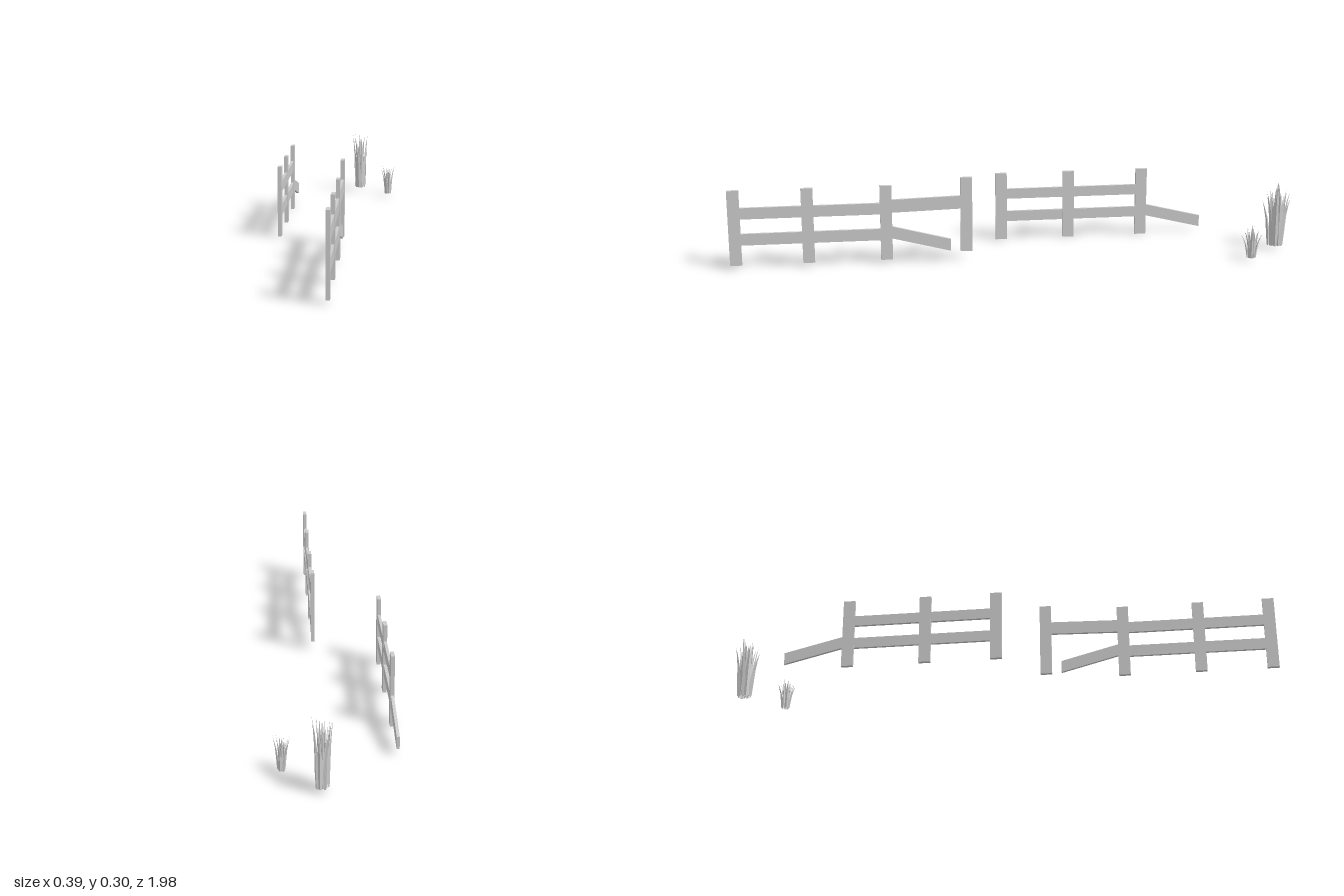
import * as THREE from 'three';

const material = new THREE.MeshStandardMaterial({ color: 0xcccccc, flatShading: true });
const leafMaterial = new THREE.MeshStandardMaterial({ color: 0xcccccc, flatShading: true, side: THREE.DoubleSide });

// Upright board standing on the fence line at z
function addPost(fence, z, bottom, top) {
  const post = new THREE.Mesh(new THREE.BoxGeometry(0.013, top - bottom, 0.041), material);
  post.position.set(0, (top + bottom) / 2, z);
  post.name = 'post';
  fence.add(post);
}

// Board between two points of the fence line, sheared so its ends stay vertical
function addRail(fence, name, z0, y0, z1, y1, height) {
  const geo = new THREE.BoxGeometry(0.01, height, Math.abs(z1 - z0));
  const slope = (y1 - y0) / (z1 - z0);
  const p = geo.attributes.position;
  for (let i = 0; i < p.count; i++) p.setY(i, p.getY(i) + p.getZ(i) * slope);
  geo.computeVertexNormals();
  const rail = new THREE.Mesh(geo, material);
  rail.position.set(0, (y0 + y1) / 2, (z0 + z1) / 2);
  rail.name = name;
  fence.add(rail);
}

function makeFence(name, x) {
  const fence = new THREE.Group();
  fence.name = name;
  fence.position.x = x;
  fence.rotation.y = Math.atan(0.0625);
  return fence;
}

// Pointed blade, folded along its middle, bending outwards from the clump
function makeBlade(baseRadius, tipRadius, height, width, angle, twist) {
  const levels = [[0, 0.6], [0.27, 1], [0.62, 0.62], [0.85, 0.28], [1, 0]];
  const positions = [], index = [];
  for (const [t, w] of levels) {
    const r = baseRadius + (tipRadius - baseRadius) * (0.35 * t + 0.65 * t * t * t);
    const half = (width * w) / 2;
    positions.push(r - half * 0.5, t * height, -half, r + half * 0.3, t * height, 0, r - half * 0.5, t * height, half);
  }
  for (let i = 0; i < levels.length - 1; i++) {
    for (let j = 0; j < 2; j++) {
      const a = i * 3 + j, b = a + 3;
      index.push(a, b, a + 1, a + 1, b, b + 1);
    }
  }
  const geo = new THREE.BufferGeometry();
  geo.setAttribute('position', new THREE.Float32BufferAttribute(positions, 3));
  geo.setIndex(index);
  geo.computeVertexNormals();
  // turn the blade about its own foot, then place it around the clump
  geo.translate(-baseRadius, 0, 0).rotateY(twist).translate(baseRadius, 0, 0).rotateY(angle);
  const blade = new THREE.Mesh(geo, leafMaterial);
  blade.name = 'grassBlade';
  return blade;
}

function makeGrass(name, x, y, z, o) {
  const clump = new THREE.Group();
  clump.name = name;
  clump.position.set(x, y, z);
  for (let i = 0; i < o.count; i++) {
    const u = (i + 0.5) / o.count;
    const spread = Math.sqrt(u);
    const vary = 0.5 + 0.5 * Math.sin(i * 4.7);
    const height = o.height * (1 - 0.3 * vary * (0.4 + 0.6 * u));
    clump.add(makeBlade(o.base * spread, o.tip * spread * (0.85 + 0.15 * vary), height,
      o.width * (0.8 + 0.3 * vary), i * 2.4, 0.5 * Math.sin(i * 2.9)));
  }
  clump.scale.set(o.scaleX, 1, 1);
  return clump;
}

export function createModel() {
  const model = new THREE.Group();
  model.name = 'brokenFencesAndGrass';

  // Long fence, with one taller leaning-off end post
  const longFence = makeFence('longFence', 0.078);
  for (const z of [0.98, 0.73, 0.46]) addPost(longFence, z, 0.013, 0.28);
  addPost(longFence, 0.18, 0.033, 0.3);
  addRail(longFence, 'topRail', 0.98, 0.198, 0.46, 0.198, 0.04);
  addRail(longFence, 'bottomRail', 0.98, 0.105, 0.46, 0.105, 0.041);
  addRail(longFence, 'endRail', 0.46, 0.205, 0.18, 0.212, 0.046);
  addRail(longFence, 'fallenRail', 0.46, 0.116, 0.235, 0.057, 0.043);
  model.add(longFence);

  // Short fence
  const shortFence = makeFence('shortFence', -0.1537);
  for (const z of [0.043, -0.207, -0.48]) addPost(shortFence, z, 0, 0.25);
  addRail(shortFence, 'topRail', 0.043, 0.172, -0.48, 0.172, 0.037);
  addRail(shortFence, 'bottomRail', 0.043, 0.087, -0.48, 0.087, 0.038);
  addRail(shortFence, 'fallenRail', -0.48, 0.096, -0.705, 0.041, 0.042);
  model.add(shortFence);

  // Grass clumps
  model.add(makeGrass('tallGrass', 0.037, 0.013, -0.938,
    { count: 18, base: 0.03, tip: 0.058, height: 0.226, width: 0.025, scaleX: 0.72 }));
  model.add(makeGrass('shortGrass', 0.163, 0.008, -0.822,
    { count: 16, base: 0.016, tip: 0.04, height: 0.114, width: 0.013, scaleX: 0.9 }));
  return model;
}
